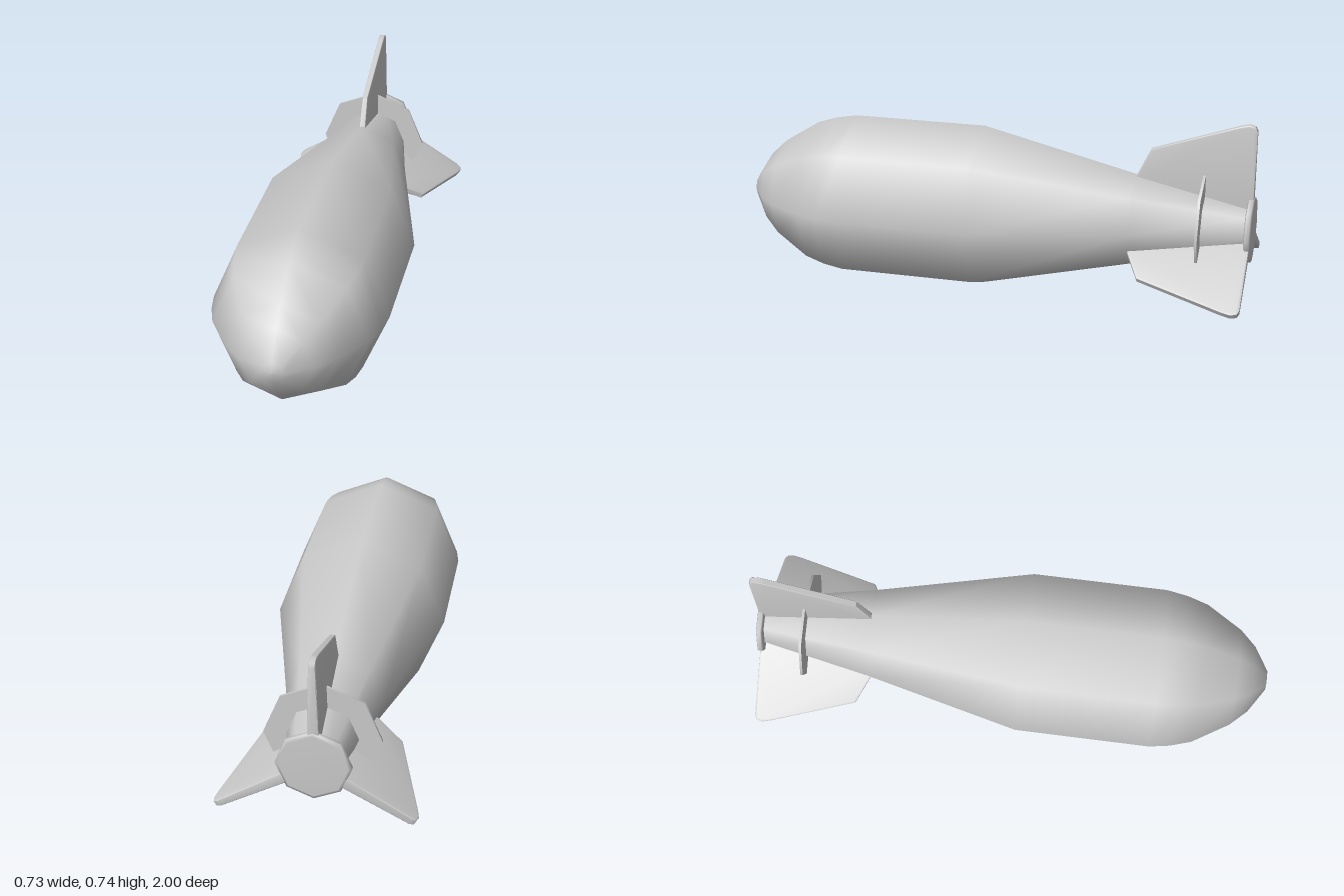
import * as THREE from 'three';
import { toCreasedNormals } from 'three/addons/utils/BufferGeometryUtils.js';

const AXIS_Y = 0.328; // height of the long axis
const SIDES = 8;

// Solid of revolution about z; profile rows are [radius, z], rear to front
function turned(profile) {
  const points = profile.map(([r, z]) => new THREE.Vector2(r, z));
  return new THREE.LatheGeometry(points, SIDES).rotateX(Math.PI / 2);
}

// Bevelled fin standing on +y, thinner towards its tip and leading edge
function finGeometry() {
  const outline = [
    [-0.53, 0.14], [-0.6, 0.29], [-0.93, 0.405], [-0.965, 0.414],
    [-0.988, 0.408], [-0.996, 0.39], [-0.996, 0.05], [-0.8, 0.08],
  ];
  const shape = new THREE.Shape(outline.map(([z, r]) => new THREE.Vector2(z, r)));
  const geometry = new THREE.ExtrudeGeometry(shape, {
    depth: 1.6, bevelThickness: 0.2, bevelSize: 0.006, bevelOffset: -0.006, bevelSegments: 2,
  });
  geometry.translate(0, 0, -0.8).rotateY(-Math.PI / 2);
  const pos = geometry.attributes.position;
  for (let i = 0; i < pos.count; i++) {
    const byRadius = THREE.MathUtils.mapLinear(pos.getY(i), 0.1, 0.41, 0.022, 0.0125);
    const byLength = THREE.MathUtils.mapLinear(pos.getZ(i), -0.55, -1, 0.65, 1);
    pos.setX(i, pos.getX(i) * byRadius * byLength);
  }
  return toCreasedNormals(geometry, 0.7);
}

export function createModel() {
  const model = new THREE.Group();
  model.name = 'finnedBomb';
  const material = new THREE.MeshStandardMaterial({ color: 0xcccccc });

  const add = (name, geometry) => {
    const mesh = new THREE.Mesh(geometry, material);
    mesh.name = name;
    mesh.position.y = AXIS_Y;
    model.add(mesh);
    return mesh;
  };

  // Faceted body with blunt nose and long tapered tail
  add('body', turned([
    [0.095, -0.985], [0.183, -0.55], [0.328, 0.05], [0.328, 0.57], [0.314, 0.65],
    [0.288, 0.73], [0.2, 0.87], [0.137, 0.935], [0.04, 0.996], [0, 1],
  ]));

  // Tail cap with softened rim
  add('tailCap', turned([
    [0, -1], [0.122, -1], [0.135, -0.995], [0.135, -0.98], [0.128, -0.975], [0, -0.975],
  ]));

  // Thin plate crossing the fins
  add('tailPlate', new THREE.CylinderGeometry(0.213, 0.213, 0.01, SIDES)
    .rotateX(Math.PI / 2).translate(0, 0, -0.808));

  // Three fins, one upright and two slanting down
  const fin = finGeometry();
  ['topFin', 'rightFin', 'leftFin'].forEach((name, i) => {
    add(name, fin).rotation.z = (i * Math.PI * 2) / 3;
  });

  return model;
}
